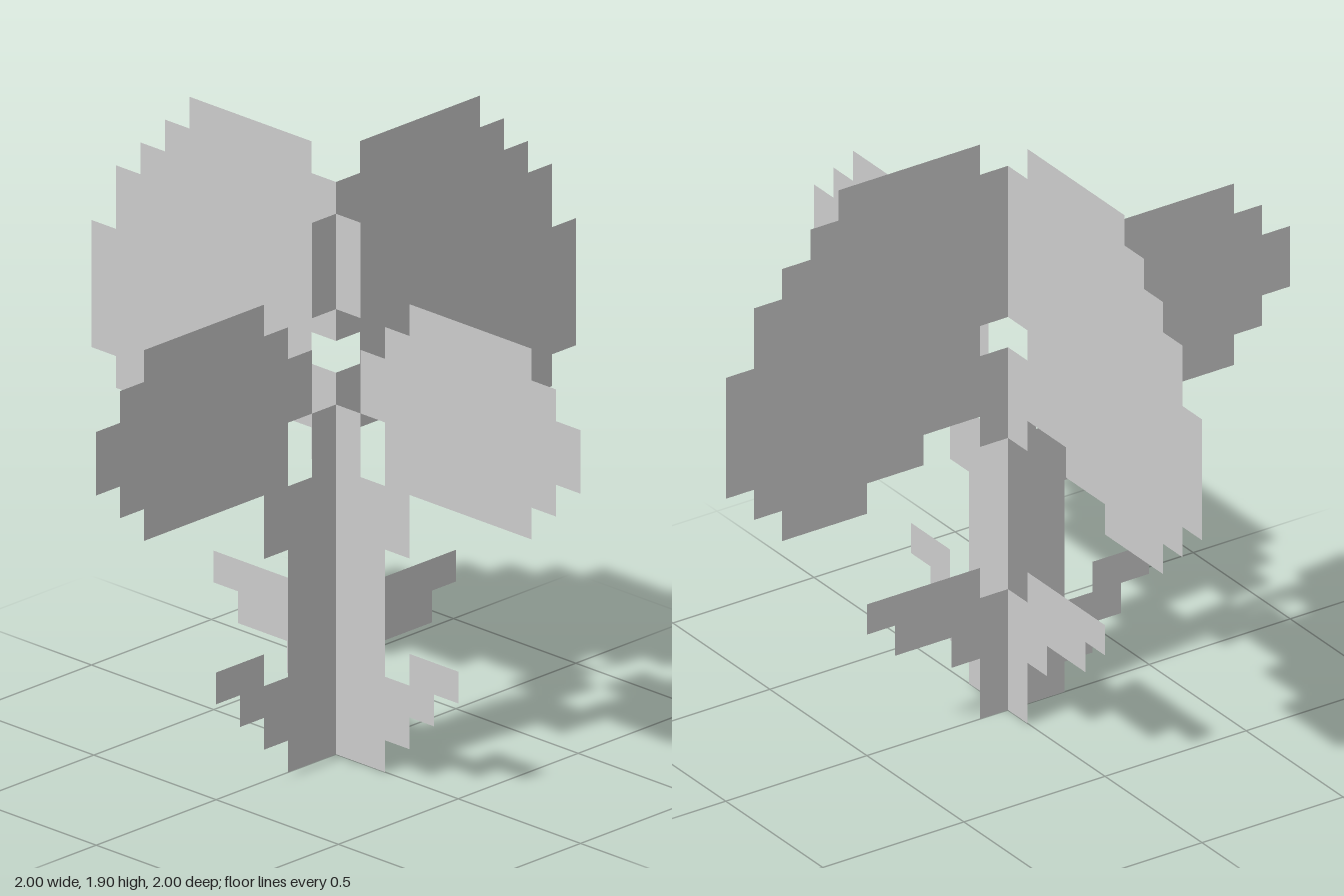
import * as THREE from 'three';

const CELL = 0.1;

// Each part: the first row above the ground, then [left, right] of every row, in cells
const PARTS = {
  stem: [0, [[-1, 2], [-1, 2], [-1, 2], [-1, 2], [0, 2], [0, 2], [0, 2], [0, 3], [0, 3], [-1, 1], [0, 1]]],
  largeLeaf: [2, [[-2, -1], [-4, -1], [-5, -1]]],
  smallLeaf: [1, [[2, 3], [2, 4], [3, 5]]],
  largeBloom: [8, [[-8, -5], [-9, -3], [-10, 0], [-10, 0], [-10, -1], [-10, 0],
    [-9, 1], [-9, 1], [-8, 1], [-7, 0], [-6, -1]]],
  smallBloom: [9, [[2, 8], [2, 9], [1, 10], [1, 10], [2, 9], [3, 8]]],
};

// Stepped outline: up the right ends of the rows, down the left ends
function steppedShape(start, rows) {
  const right = [], left = [];
  rows.forEach(([x0, x1], i) => {
    for (const y of [start + i, start + i + 1]) {
      right.push(new THREE.Vector2(x1 * CELL, y * CELL));
      left.unshift(new THREE.Vector2(x0 * CELL, y * CELL));
    }
  });
  return new THREE.Shape([...right, ...left]);
}

export function createModel() {
  const model = new THREE.Group();
  model.name = 'crossedPlant';
  const material = new THREE.MeshStandardMaterial({ color: 0xcccccc, side: THREE.DoubleSide });

  // Two identical flat cutouts crossing on the vertical axis
  [['frontCutout', 0], ['sideCutout', -Math.PI / 2]].forEach(([name, turn]) => {
    const cutout = new THREE.Group();
    cutout.name = name;
    cutout.rotation.y = turn;
    for (const [part, [start, rows]] of Object.entries(PARTS)) {
      const mesh = new THREE.Mesh(new THREE.ShapeGeometry(steppedShape(start, rows)), material);
      mesh.name = part;
      cutout.add(mesh);
    }
    model.add(cutout);
  });
  return model;
}
